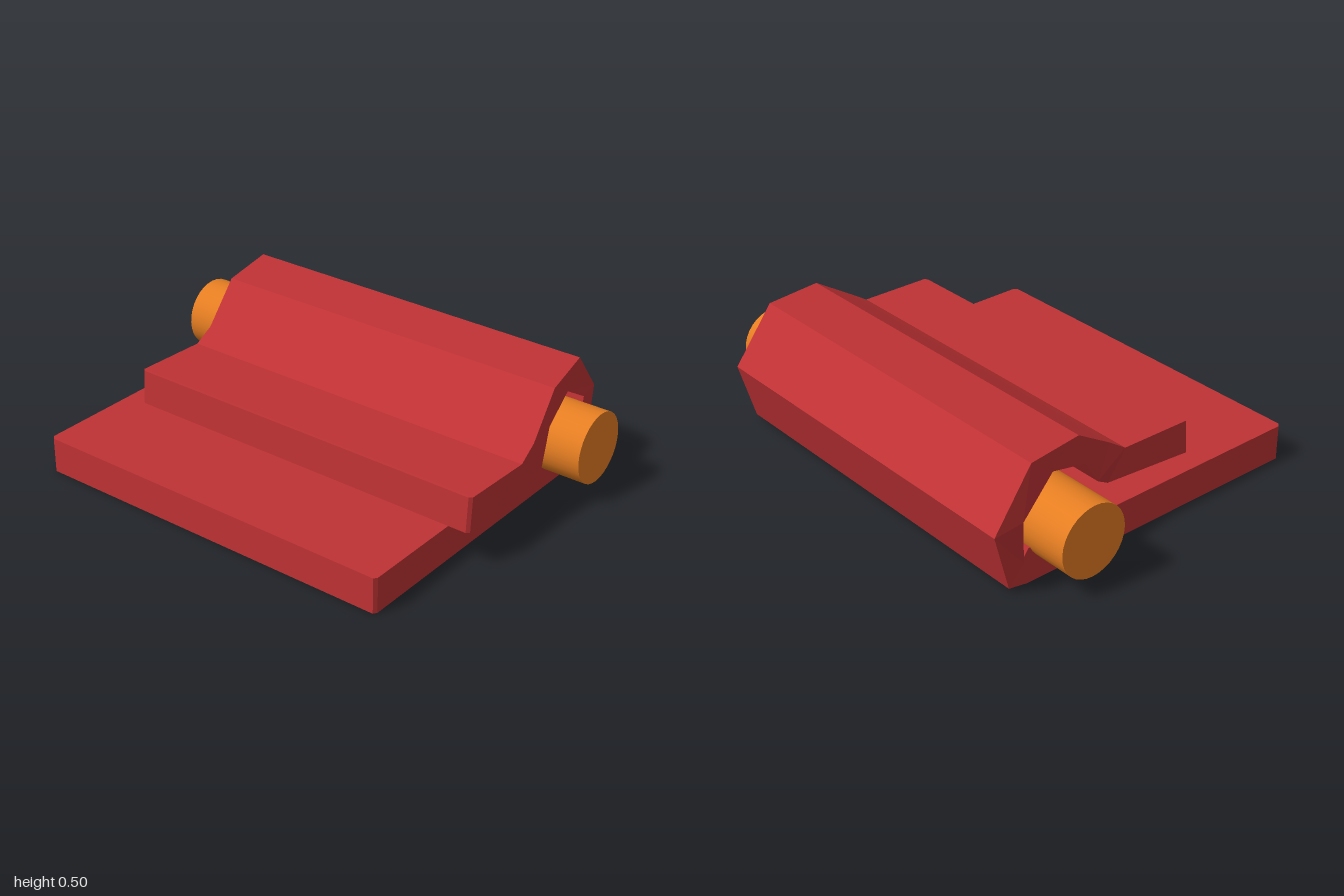
import * as THREE from 'three';

const red = new THREE.MeshStandardMaterial({ color: 0xbf3234 });
red.name = 'red';
red.flatShading = true;
const orange = new THREE.MeshStandardMaterial({ color: 0xe67e22 });
orange.name = 'orange';

// Sections along the bent strip: [outer z, outer y, inner z, inner y, outer x from, to, inner x from, to]
const sections = [
  [0.76, 0, 0.76, 0.15, -0.80, 0.80, -0.80, 0.80],
  [0.745, 0, 0.745, 0.15, -0.815, 0.81, -0.815, 0.81],
  [-0.58, 0, -0.575, 0.15, -0.815, 0.81, -0.815, 0.81],
  [-0.665, 0.015, -0.595, 0.095, -0.815, 0.81, -0.815, 0.81],
  [-0.757, 0.285, -0.625, 0.295, -0.845, 0.78, -0.845, 0.81],
  [-0.56, 0.497, -0.44, 0.405, -0.81, 0.815, -0.79, 0.84],
  [-0.295, 0.487, -0.25, 0.345, -0.765, 0.865, -0.755, 0.88],
  [-0.09, 0.352, -0.16, 0.22, -0.71, 0.91, -0.73, 0.91],
  [-0.01, 0.30, -0.09, 0.175, -0.715, 0.912, -0.71, 0.912],
  [0.303, 0.303, 0.313, 0.157, -0.725, 0.905, -0.725, 0.905],
  [0.315, 0.303, 0.325, 0.157, -0.712, 0.893, -0.712, 0.893],
];

// Thick strip made from four-cornered sections, with a cap on each end
function stripGeometry(rows) {
  const rings = rows.map(([oz, oy, iz, iy, oL, oR, iL, iR]) => [
    [oL, oy, oz], [oR, oy, oz], [iR, iy, iz], [iL, iy, iz],
  ]);
  const pos = [];
  const quad = (a, b, c, d) => pos.push(...a, ...b, ...c, ...a, ...c, ...d);
  for (let k = 0; k < rings.length - 1; k++) {
    const r = rings[k], s = rings[k + 1];
    for (let j = 0; j < 4; j++) {
      const n = (j + 1) % 4;
      quad(r[j], s[j], s[n], r[n]);
    }
  }
  quad(...rings[0]);
  quad(...[...rings[rings.length - 1]].reverse());
  const g = new THREE.BufferGeometry();
  g.setAttribute('position', new THREE.Float32BufferAttribute(pos, 3));
  g.computeVertexNormals();
  return g;
}

export function createModel() {
  const group = new THREE.Group();
  group.name = 'hingeLeaf';

  // Plate that curls around the pin and folds back over itself
  const leaf = new THREE.Mesh(stripGeometry(sections), red);
  leaf.name = 'foldedPlate';
  group.add(leaf);

  // Round pin through the fold
  const pinGeometry = new THREE.CylinderGeometry(0.15, 0.15, 2, 32);
  pinGeometry.rotateZ(Math.PI / 2);
  const pin = new THREE.Mesh(pinGeometry, orange);
  pin.name = 'pin';
  pin.position.set(0, 0.212, -0.43);
  group.add(pin);

  return group;
}
